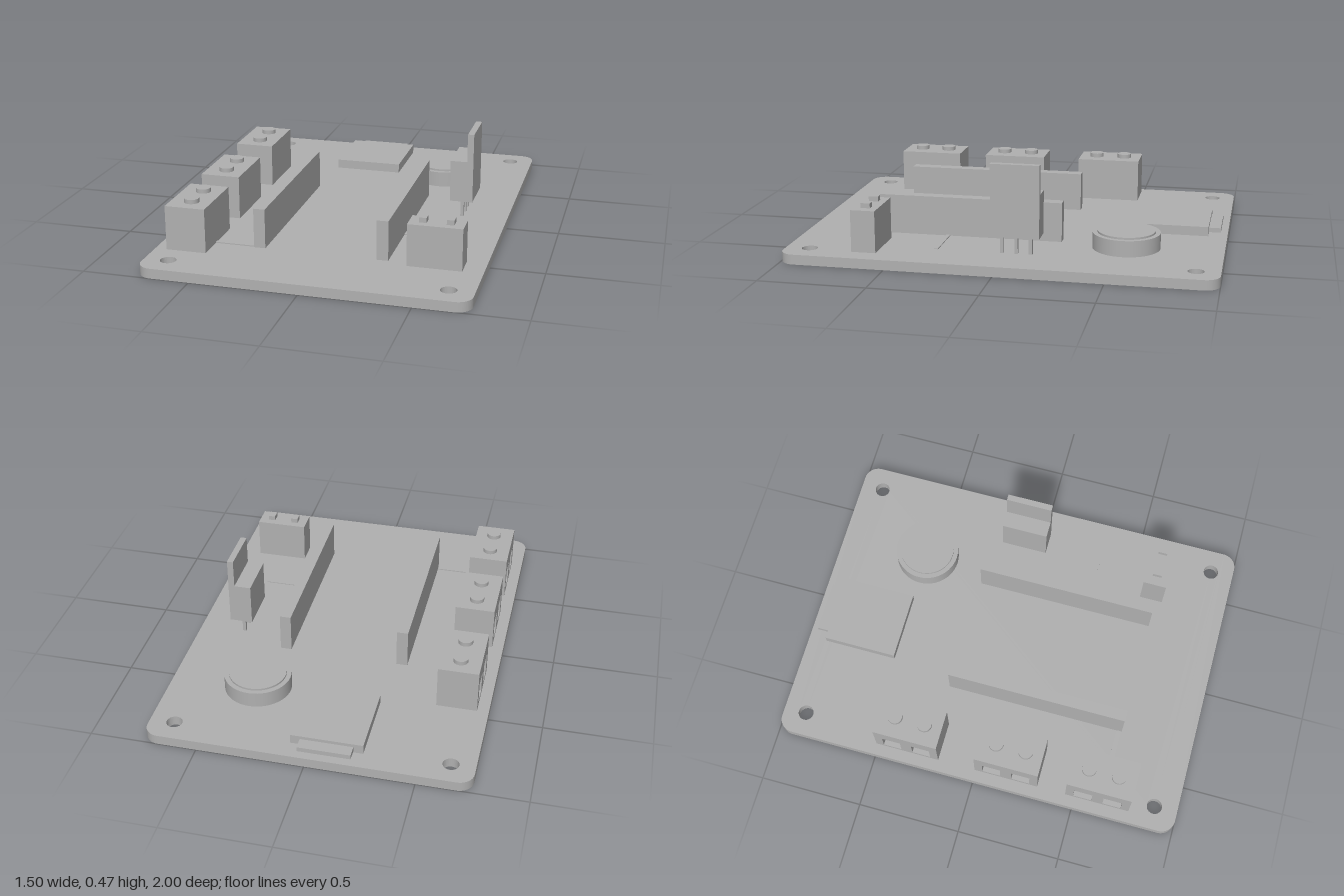
import * as THREE from 'three';

const grey = new THREE.MeshStandardMaterial({ color: 0xb0b0b0 });
grey.name = 'plain grey';
const TOP = 0.047; // upper face of the board

function add(parent, name, geometry) {
  const mesh = new THREE.Mesh(geometry, grey);
  mesh.name = name;
  parent.add(mesh);
  return mesh;
}

// Box given by its limits along each axis
function box(parent, name, [x0, x1], [y0, y1], [z0, z1]) {
  const mesh = add(parent, name, new THREE.BoxGeometry(x1 - x0, y1 - y0, z1 - z0));
  mesh.position.set((x0 + x1) / 2, (y0 + y1) / 2, (z0 + z1) / 2);
  return mesh;
}

function disc(parent, name, r, [y0, y1], x, z, sides = 32) {
  const mesh = add(parent, name, new THREE.CylinderGeometry(r, r, y1 - y0, sides));
  mesh.position.set(x, (y0 + y1) / 2, z);
  return mesh;
}

function rect(path, x0, y0, x1, y1) {
  path.moveTo(x0, y0);
  path.lineTo(x1, y0);
  path.lineTo(x1, y1);
  path.lineTo(x0, y1);
  path.closePath();
  return path;
}

// Rounded board with four mounting holes
function board(parent) {
  const w = 0.75, h = 1, r = 0.07;
  const s = new THREE.Shape();
  s.absarc(w - r, h - r, r, 0, Math.PI / 2);
  s.absarc(-w + r, h - r, r, Math.PI / 2, Math.PI);
  s.absarc(-w + r, -h + r, r, Math.PI, Math.PI * 1.5);
  s.absarc(w - r, -h + r, r, Math.PI * 1.5, Math.PI * 2);
  for (const x of [-0.638, 0.635]) for (const y of [-0.887, 0.89]) {
    s.holes.push(new THREE.Path().absarc(x, y, 0.037, 0, Math.PI * 2, true));
  }
  const geometry = new THREE.ExtrudeGeometry(s, { depth: TOP, bevelEnabled: false, curveSegments: 16 });
  add(parent, 'board', geometry.rotateX(-Math.PI / 2));
}

// Two-way screw terminal with wire openings towards the board's edge
function terminal(parent, z) {
  const group = new THREE.Group();
  group.name = 'screwTerminal';
  group.position.z = z;
  const top = 0.257, half = 0.158, seam = -0.575;
  const face = rect(new THREE.Shape(), -half, TOP, half, top);
  for (const c of [-0.073, 0.073]) {
    face.holes.push(rect(new THREE.Path(), c - 0.045, TOP + 0.02, c + 0.045, TOP + 0.125));
    disc(group, 'terminalScrew', 0.035, [top - 0.01, 0.277], -0.597, c);
  }
  const front = add(group, 'terminalFront',
    new THREE.ExtrudeGeometry(face, { depth: 0.12, bevelEnabled: false }).rotateY(-Math.PI / 2));
  front.position.x = seam;
  box(group, 'terminalBack', [seam, -0.505], [TOP, top], [-half, half]);
  parent.add(group);
}

export function createModel() {
  const model = new THREE.Group();
  model.name = 'circuitBoard';
  board(model);

  for (const z of [-0.347, 0.155, 0.612]) terminal(model, z);

  // Long socket strips
  for (const x of [-0.29, 0.287]) {
    box(model, 'socketStrip', [x - 0.027, x + 0.027], [TOP, 0.235], [-0.24, 0.645]);
  }

  // Two-pin connector
  box(model, 'connectorBody', [0.405, 0.655], [TOP, 0.245], [0.565, 0.68]);
  for (const x of [0.468, 0.592]) {
    box(model, 'connectorContact', [x - 0.017, x + 0.017], [0.24, 0.268], [0.6, 0.645]);
  }

  // Upright regulator with tab and three legs
  box(model, 'regulatorBody', [0.475, 0.585], [0.135, 0.337], [-0.183, 0.043]);
  box(model, 'regulatorTab', [0.555, 0.585], [0.337, 0.475], [-0.183, 0.043]);
  for (const z of [0, -0.067, -0.134]) {
    box(model, 'regulatorLeg', [0.522, 0.538], [TOP, 0.14], [z - 0.008, z + 0.008]);
  }

  // Coin cell in its holder
  disc(model, 'cellHolder', 0.158, [TOP, 0.123], 0.337, -0.548, 48);
  disc(model, 'coinCell', 0.135, [0.12, 0.132], 0.337, -0.548, 48);

  // Memory card socket and card
  box(model, 'cardSocket', [-0.25, 0.085], [TOP, 0.092], [-0.91, -0.55]);
  box(model, 'memoryCard', [-0.205, 0.04], [0.055, 0.077], [-0.967, -0.85]);

  // Thin tracks on the board
  box(model, 'track', [-0.505, -0.28], [TOP, 0.052], [0.62, 0.64]);
  box(model, 'track', [0.3, 0.54], [TOP, 0.051], [0.3, 0.32]);
  return model;
}
